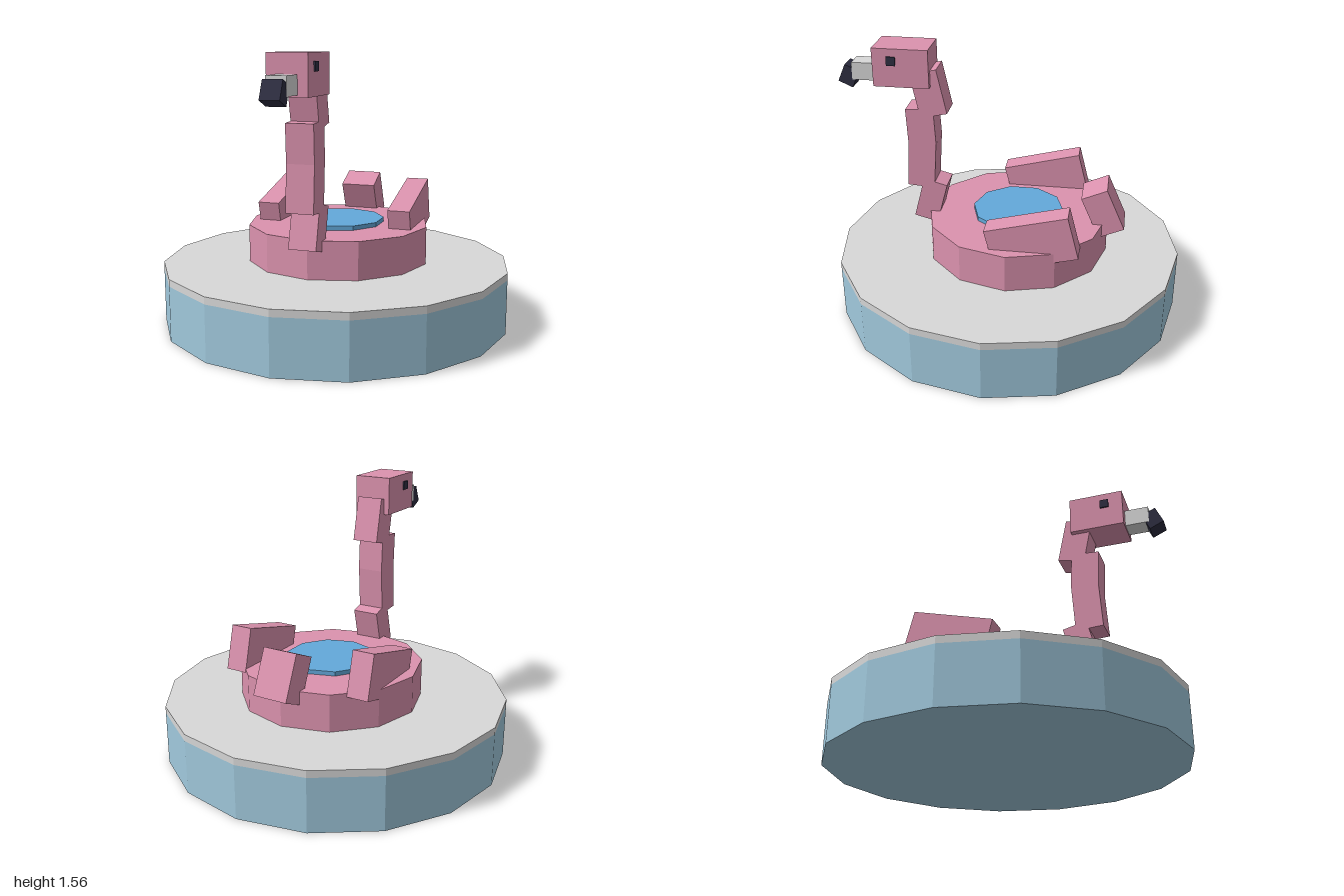
import * as THREE from 'three';

const material = (name, color) => {
  const m = new THREE.MeshStandardMaterial({ color });
  m.name = name;
  return m;
};

export function createModel() {
  const pink = material('pink', 0xdb92ae);
  const paleBlue = material('paleBlue', 0xa0c8dc);
  const lightGrey = material('lightGrey', 0xd8d8d8);
  const water = material('waterBlue', 0x63a9da);
  const dark = material('darkNavy', 0x2e2e42);

  const model = new THREE.Group();
  model.name = 'flamingoFloat';

  const add = (name, geometry, mat, x, y, z) => {
    const mesh = new THREE.Mesh(geometry, mat);
    mesh.name = name;
    mesh.position.set(x, y, z);
    model.add(mesh);
    return mesh;
  };

  // Faceted drum between two heights
  const drum = (name, mat, radius, sides, y0, y1, z = 0) => {
    const g = new THREE.CylinderGeometry(radius, radius, y1 - y0, sides).toNonIndexed();
    g.computeVertexNormals();
    return add(name, g, mat, 0, (y0 + y1) / 2, z);
  };

  // Box running between two [z, y] points in the side plane
  const beam = (name, mat, x, width, depth, [z0, y0], [z1, y1]) => {
    const dz = z1 - z0, dy = y1 - y0;
    const g = new THREE.BoxGeometry(width, Math.hypot(dz, dy), depth);
    const mesh = add(name, g, mat, x, (y0 + y1) / 2, (z0 + z1) / 2);
    mesh.rotation.x = Math.atan2(dz, dy);
    return mesh;
  };

  // Plinth
  drum('plinthBase', paleBlue, 1, 16, 0, 0.31);
  drum('plinthTop', lightGrey, 1, 16, 0.31, 0.35);

  // Floating body with a pool of water
  drum('floatBody', pink, 0.527, 12, 0.35, 0.565, -0.052);
  drum('waterPool', water, 0.264, 10, 0.5, 0.59, -0.055);

  // Neck, bottom to top
  const neck = [
    ['neckRoot', 0.14, [0.419, 0.512], [0.48, 0.753]].slice(0, 2).concat([[0.484, 0.512], [0.42, 0.755]]),
    ['neckLower', 0.158, [0.505, 0.725], [0.487, 1.0]],
    ['neckUpper', 0.16, [0.487, 0.99], [0.497, 1.203]],
    ['neckTop', 0.156, [0.414, 1.17], [0.468, 1.425]],
  ];
  neck.forEach(([name, depth, from, to]) => beam(name, pink, 0, 0.156, depth, from, to));

  // Head and beak
  add('head', new THREE.BoxGeometry(0.22, 0.218, 0.313), pink, 0, 1.45, 0.582);
  add('beak', new THREE.BoxGeometry(0.11, 0.1, 0.15), lightGrey, 0, 1.403, 0.8);
  beam('beakTip', dark, 0, 0.106, 0.088, [0.917, 1.323], [0.874, 1.42]);

  // Eyes and wings on both sides
  for (const [side, s] of [['left', 1], ['right', -1]]) {
    add(side + 'Eye', new THREE.BoxGeometry(0.009, 0.05, 0.05), dark, s * 0.114, 1.49, 0.632);
    beam(side + 'Wing', pink, s * 0.394, 0.128, 0.254, [0.043, 0.551], [-0.412, 0.668]);
  }

  // Tail
  beam('tail', pink, 0, 0.207, 0.158, [-0.607, 0.513], [-0.5, 0.754]);

  return model;
}
